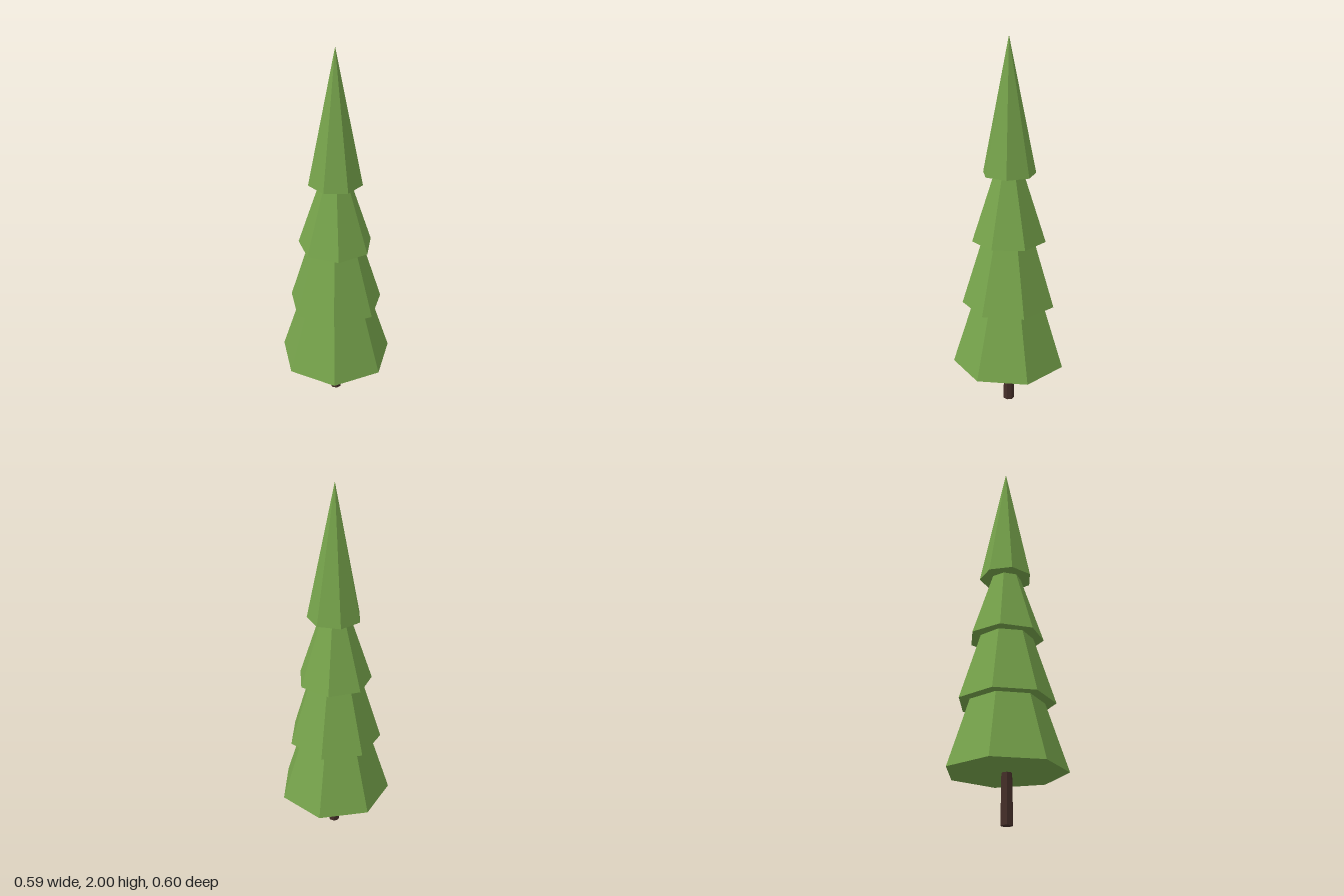
import * as THREE from 'three';

const SIDES = 7;
const AXIS_X = -0.0137; // trunk axis, offset so the uneven outline is centred

// Foliage tiers: base height, apex height, base radius, corner angle (degrees from +x toward +z)
const TIERS = [
  { base: 0.25, apex: 1.21, radius: 0.307, angle: 2.0 },
  { base: 0.6, apex: 1.41, radius: 0.252, angle: 2.5 },
  { base: 0.955, apex: 1.55, radius: 0.197, angle: -4.1 },
  { base: 1.31, apex: 2.0, radius: 0.141, angle: 25.5 },
];

export function createModel() {
  const tree = new THREE.Group();
  tree.name = 'pineTree';

  const green = new THREE.MeshStandardMaterial({ color: 0x76a34b, flatShading: true });
  green.name = 'needleGreen';
  const brown = new THREE.MeshStandardMaterial({ color: 0x452f29, flatShading: true });
  brown.name = 'barkBrown';

  // Trunk, tapering slightly and reaching into the lowest tier
  const trunkHeight = 0.3;
  const trunk = new THREE.Mesh(
    new THREE.CylinderGeometry(0.026, 0.031, trunkHeight, SIDES, 1), brown);
  trunk.name = 'trunk';
  trunk.position.set(AXIS_X, trunkHeight / 2, 0.003);
  tree.add(trunk);

  // Stacked seven-sided cones, each with a closed underside
  TIERS.forEach(({ base, apex, radius, angle }, i) => {
    const height = apex - base;
    const start = Math.PI / 2 - THREE.MathUtils.degToRad(angle);
    const tier = new THREE.Mesh(
      new THREE.ConeGeometry(radius, height, SIDES, 1, false, start), green);
    tier.name = `foliageTier${i + 1}`;
    tier.position.set(AXIS_X, base + height / 2, 0);
    tree.add(tier);
  });

  return tree;
}
